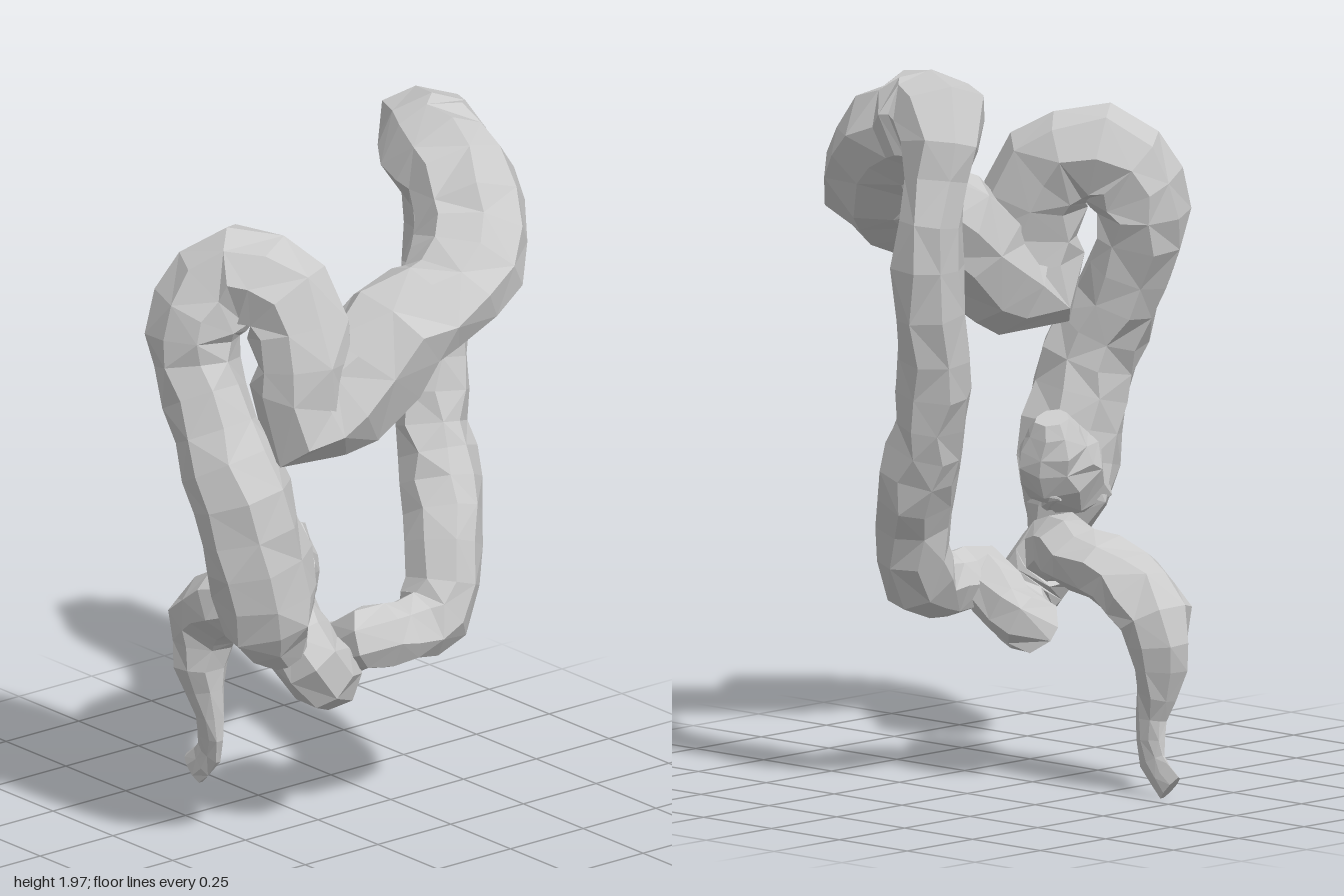
import * as THREE from 'three';

const SIDES = 8, STEPS = 2;
const material = new THREE.MeshStandardMaterial({ color: 0xcccccc, flatShading: true, side: THREE.DoubleSide });

// One continuous route, divided into named sections: [x, y, z, radius, height scale, width scale]
const sections = {
  ascendingColon: [
    [-0.30, 0.61, 0.23, 0.06], [-0.35, 0.72, 0.22, 0.13], [-0.39, 0.90, 0.225, 0.135],
    [-0.43, 1.08, 0.2, 0.13], [-0.45, 1.25, 0.12, 0.115], [-0.45, 1.42, 0.04, 0.115],
  ],
  hepaticFlexure: [
    [-0.43, 1.56, 0.03, 0.13], [-0.35, 1.66, 0.09, 0.135], [-0.28, 1.61, 0.21, 0.135], [-0.27, 1.44, 0.27, 0.13],
  ],
  transverseColon: [
    [-0.28, 1.29, 0.27, 0.14], [-0.17, 1.33, 0.3, 0.15, 0.95], [0.00, 1.49, 0.33, 0.16, 0.78],
    [0.18, 1.56, 0.34, 0.145, 0.8], [0.31, 1.66, 0.27, 0.145],
  ],
  splenicFlexure: [
    [0.36, 1.78, 0.15, 0.145], [0.38, 1.84, 0.02, 0.14], [0.41, 1.85, -0.05, 0.13],
  ],
  descendingColon: [
    [0.455, 1.70, -0.08, 0.085], [0.475, 1.47, -0.07, 0.095], [0.43, 1.22, -0.05, 0.095],
    [0.40, 1.04, -0.01, 0.1], [0.38, 0.90, 0.05, 0.105], [0.34, 0.75, 0.12, 0.105], [0.27, 0.58, 0.16, 0.1],
  ],
  sigmoidColon: [
    [0.16, 0.55, 0.16, 0.085], [0.05, 0.55, 0.14, 0.085], [0.08, 0.49, 0.01, 0.075], [0.05, 0.45, -0.06, 0.075],
    [-0.01, 0.45, 0.06, 0.08], [-0.09, 0.48, 0.13, 0.095], [-0.15, 0.58, 0.09, 0.1], [-0.12, 0.63, 0.0, 0.09],
  ],
  rectum: [
    [-0.06, 0.62, -0.13, 0.1, 0.8], [-0.07, 0.58, -0.27, 0.11, 0.85], [-0.065, 0.49, -0.385, 0.1],
    [-0.07, 0.36, -0.4, 0.075], [-0.065, 0.22, -0.375, 0.045, 1, 0.7], [-0.055, 0.11, -0.39, 0.045, 1, 0.35],
    [-0.055, 0.045, -0.455, 0.045, 1, 0.35],
  ],
};

function makeNoise(seed) {
  return () => {
    seed = (seed * 16807) % 2147483647;
    return seed / 2147483647 - 0.5;
  };
}

// Rings of vertices around a path, with the frame carried along to avoid twisting
function makeRings(points, seed) {
  const noise = makeNoise(seed);
  const curve = new THREE.CatmullRomCurve3(points.map(p => new THREE.Vector3(p[0], p[1], p[2])));
  const count = (points.length - 1) * STEPS;
  const rings = [];
  const normal = new THREE.Vector3(0.3, 0.1, 1);
  for (let i = 0; i <= count; i++) {
    const t = i / count;
    const center = curve.getPoint(t), tangent = curve.getTangent(t);
    normal.addScaledVector(tangent, -normal.dot(tangent)).normalize();
    const binormal = new THREE.Vector3().crossVectors(tangent, normal);
    const k = Math.min(Math.floor(i / STEPS), points.length - 2), f = i / STEPS - k;
    const mix = n => THREE.MathUtils.lerp(points[k][n] ?? 1, points[k + 1][n] ?? 1, f);
    const radius = mix(3), scale = new THREE.Vector3(mix(5), mix(4), 1);
    const ring = [];
    for (let j = 0; j < SIDES; j++) {
      const a = (j + noise() * 0.4) / SIDES * Math.PI * 2;
      const r = radius * (1.03 + noise() * 0.14);
      const v = new THREE.Vector3().addScaledVector(normal, Math.cos(a) * r).addScaledVector(binormal, Math.sin(a) * r);
      ring.push(v.multiply(scale).add(center));
    }
    rings.push({ center, ring });
  }
  return rings;
}

// Skin a run of rings; capped ends close with a fan
function skin(name, rings, capStart, capEnd) {
  const pos = [], index = [];
  rings.forEach(({ ring }) => ring.forEach(v => pos.push(v.x, v.y, v.z)));
  for (let i = 0; i < rings.length - 1; i++) {
    for (let j = 0; j < SIDES; j++) {
      const n = (j + 1) % SIDES;
      const a = i * SIDES + j, b = i * SIDES + n, c = a + SIDES, d = b + SIDES;
      // alternate the diagonals for a faceted, untwisted surface
      if ((i + j) % 2) index.push(a, b, c, b, d, c);
      else index.push(a, b, d, a, d, c);
    }
  }
  const cap = (i, flip) => {
    const mid = pos.length / 3, c = rings[i].center;
    pos.push(c.x, c.y, c.z);
    for (let j = 0; j < SIDES; j++) {
      const a = i * SIDES + j, b = i * SIDES + (j + 1) % SIDES;
      index.push(mid, flip ? b : a, flip ? a : b);
    }
  };
  if (capStart) cap(0, true);
  if (capEnd) cap(rings.length - 1, false);
  const geometry = new THREE.BufferGeometry();
  geometry.setAttribute('position', new THREE.Float32BufferAttribute(pos, 3));
  geometry.setIndex(index);
  geometry.computeVertexNormals();
  const mesh = new THREE.Mesh(geometry, material);
  mesh.name = name;
  return mesh;
}

export function createModel() {
  const group = new THREE.Group();
  group.name = 'largeIntestine';

  // Main tube, section by section
  const names = Object.keys(sections);
  const rings = makeRings(Object.values(sections).flat(), 77);
  let start = 0;
  names.forEach((name, i) => {
    const end = Math.min(start + sections[name].length * STEPS, rings.length - 1);
    group.add(skin(name, rings.slice(start, end + 1), i === 0, i === names.length - 1));
    start = end;
  });

  // Side branches near the base of the ascending section
  const branches = {
    ileumStub: [[-0.36, 0.76, 0.21, 0.12], [-0.28, 0.82, 0.17, 0.12], [-0.245, 0.88, 0.15, 0.09], [-0.22, 0.95, 0.14, 0.045]],
    appendix: [[-0.28, 0.70, 0.22, 0.03], [-0.22, 0.73, 0.14, 0.012], [-0.17, 0.745, 0.06, 0.003]],
  };
  for (const [name, points] of Object.entries(branches)) {
    group.add(skin(name, makeRings(points, 31), true, true));
  }
  return group;
}
